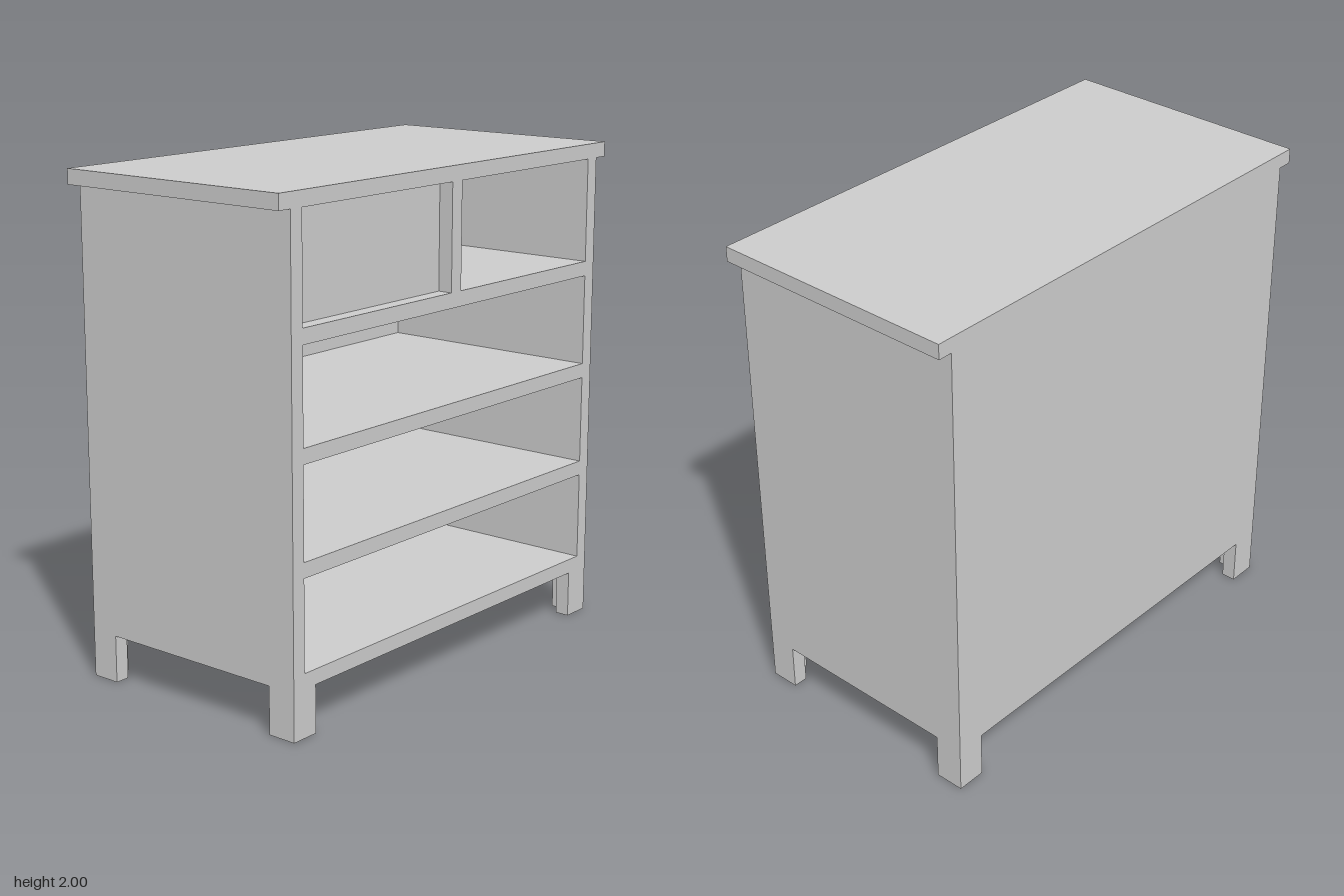
import * as THREE from 'three';

const T = 0.06;               // board thickness
const W = 0.94, D = 0.52;     // half width and half depth of the carcass
const TOP = 1.94, APRON = 0.19, LEG = 0.12;
const material = new THREE.MeshStandardMaterial({ color: 0xcccccc });

function add(group, name, geometry, x = 0, y = 0, z = 0) {
  const mesh = new THREE.Mesh(geometry, material);
  mesh.name = name;
  mesh.position.set(x, y, z);
  group.add(mesh);
  return mesh;
}

// Board given by its extents on each axis
function board(group, name, x0, x1, y0, y1, z0, z1) {
  return add(group, name, new THREE.BoxGeometry(x1 - x0, y1 - y0, z1 - z0),
    (x0 + x1) / 2, (y0 + y1) / 2, (z0 + z1) / 2);
}

// Upright panel whose lower edge is cut away between two feet
function footedPanel(half, foot, openings = []) {
  const h = half - foot;
  const shape = new THREE.Shape([
    [-half, 0], [-h, 0], [-h, APRON], [h, APRON], [h, 0], [half, 0], [half, TOP], [-half, TOP],
  ].map(([x, y]) => new THREE.Vector2(x, y)));
  for (const [x0, x1, y0, y1] of openings) {
    shape.holes.push(new THREE.Path([
      [x0, y0], [x0, y1], [x1, y1], [x1, y0],
    ].map(([x, y]) => new THREE.Vector2(x, y))));
  }
  return new THREE.ExtrudeGeometry(shape, { depth: T, bevelEnabled: false });
}

export function createModel() {
  const group = new THREE.Group();
  group.name = 'chestOfDrawers';
  const inX = W - T, inZ = D - T;

  // Top slab, overhanging at the sides
  board(group, 'top', -1, 1, TOP, 2, -D, D);

  // Back panel with feet
  add(group, 'backPanel', footedPanel(W, LEG), 0, 0, -D);

  // Side panels between front and back, making L-shaped legs
  for (const [name, x] of [['leftSide', inX], ['rightSide', -W]]) {
    add(group, name, footedPanel(inZ, LEG - T), x).rotation.y = Math.PI / 2;
  }

  // Shelves, flush with the rails of the front frame
  const shelves = [[APRON, 0.25], [0.61, 0.67], [1.03, 1.09], [1.46, 1.52]];
  for (const [y0, y1] of shelves) board(group, 'shelf', -inX, inX, y0, y1, -inZ, inZ);
  board(group, 'divider', -T / 2, T / 2, 1.52, TOP, -inZ, inZ);

  // Front frame: three wide openings; the upper pair reach up to the top slab
  const openings = shelves.slice(0, 3).map(([, y], i) => [-inX, inX, y, shelves[i + 1][0]]);
  const frame = footedPanel(W, LEG, openings.concat([
    [-inX, -T / 2, 1.52, TOP - 0.0005], [T / 2, inX, 1.52, TOP - 0.0005],
  ]));
  add(group, 'frontFrame', frame, 0, 0, inZ);

  // Recessed panel closing the upper right compartment
  board(group, 'drawerFront', -inX, -T / 2, 1.52, TOP, inZ - T, inZ);

  return group;
}
